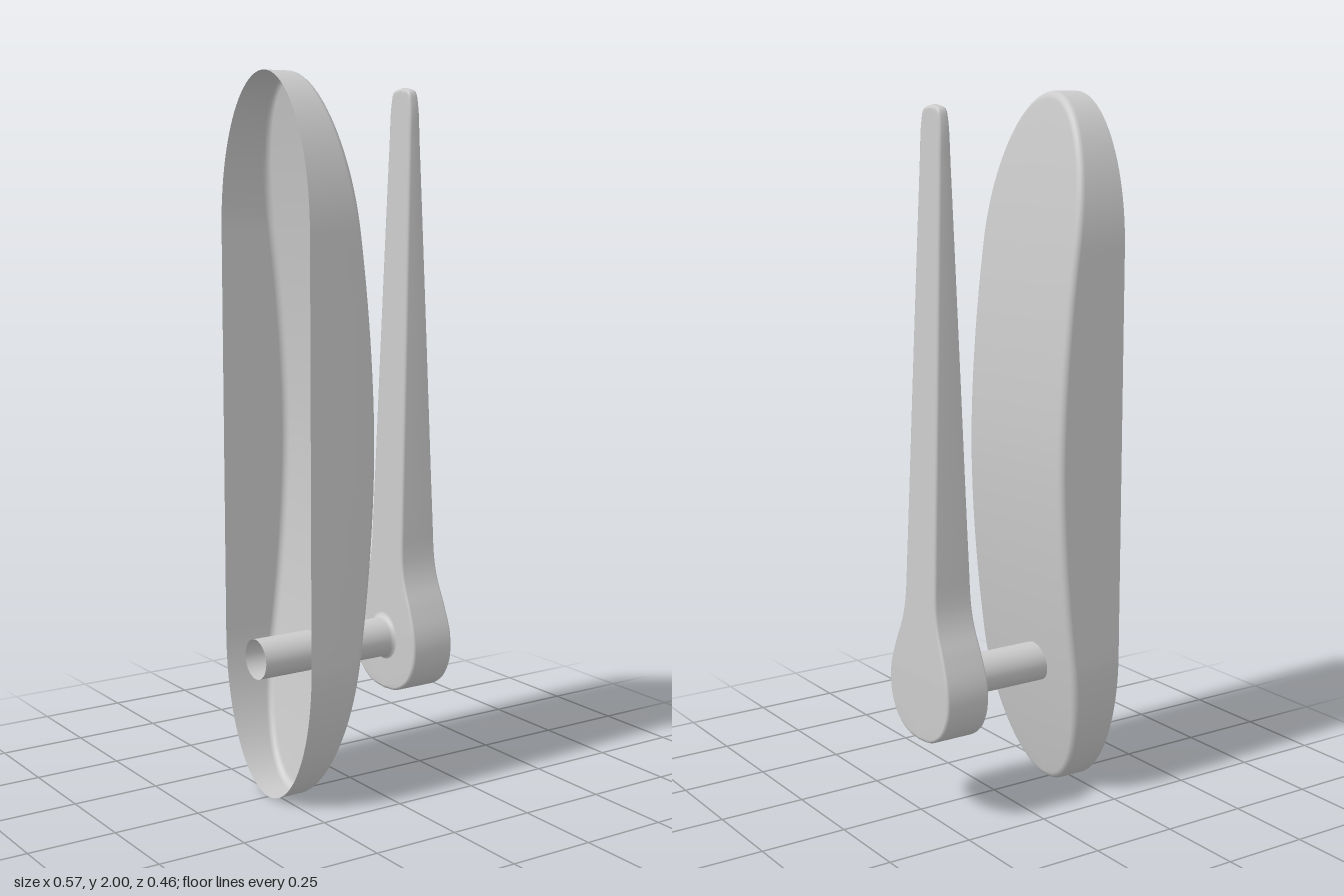
import * as THREE from 'three';
import { mergeVertices } from 'three/addons/utils/BufferGeometryUtils.js';

const material = new THREE.MeshStandardMaterial({ color: 0xcccccc, side: THREE.DoubleSide });

// Mirrors a half outline [half width, y], listed bottom to top, into a closed loop.
function mirrorOutline(half) {
  const right = half.map(([w, y]) => ({ y, z: -w }));
  const left = half.slice(1, -1).reverse().map(([w, y]) => ({ y, z: w }));
  return [...right, ...left];
}

// Lofts a loop along x. Each row gives x as a function of y and an inset;
// a row marked spine folds the loop onto z = 0, which closes the face.
function loft(loop, rows) {
  const n = loop.length, positions = [], index = [];
  for (const { x, inset = 0, spine = false } of rows) {
    loop.forEach((p, i) => {
      const a = loop[(i + n - 1) % n], b = loop[(i + 1) % n];
      const length = Math.hypot(b.y - a.y, b.z - a.z);
      const y = p.y - inset * (b.z - a.z) / length;
      const z = p.z + inset * (b.y - a.y) / length;
      positions.push(x(y), y, spine ? 0 : z);
    });
  }
  for (let r = 0; r < rows.length - 1; r++) {
    for (let i = 0; i < n; i++) {
      const j = (i + 1) % n;
      const a = r * n + i, b = r * n + j, c = b + n, d = a + n;
      index.push(a, b, d, b, c, d);
    }
  }
  const geometry = new THREE.BufferGeometry();
  geometry.setAttribute('position', new THREE.Float32BufferAttribute(positions, 3));
  geometry.setIndex(index);
  const merged = mergeVertices(geometry, 1e-5);
  merged.computeVertexNormals();
  return merged;
}

function addPart(group, name, geometry, z = 0) {
  const mesh = new THREE.Mesh(geometry, material);
  mesh.name = name;
  mesh.position.z = z;
  group.add(mesh);
}

// Long oval shell, open at the back, with a face bowed along its height.
function backplateGeometry() {
  const half = [], width = 0.228, cap = 0.42, steps = 24;
  for (let i = 0; i <= steps; i++) {
    const a = (i / steps) * Math.PI / 2;
    half.push([width * Math.sin(a), cap * (1 - Math.cos(a))]);
  }
  for (let i = 1; i < steps; i++) half.push([width, cap + (2 - 2 * cap) * i / steps]);
  for (let i = steps; i >= 0; i--) {
    const a = (i / steps) * Math.PI / 2;
    half.push([width * Math.sin(a), 2 - cap * (1 - Math.cos(a))]);
  }
  const face = (y) => -0.065 - 0.118 * Math.pow(Math.abs(y - 1), 1.8);
  const rows = [{ x: () => -0.275 }];
  const radius = 0.018;
  for (let i = 0; i <= 4; i++) {
    const a = (i / 4) * Math.PI / 2;
    rows.push({ x: (y) => face(y) - radius * (1 - Math.sin(a)), inset: radius * (1 - Math.cos(a)) });
  }
  rows.push({ x: face, inset: radius, spine: true });
  return loft(mirrorOutline(half), rows);
}

// Lever with a rounded bulb at the pivot, tapering in width and thickness.
function leverGeometry() {
  const profile = [
    [0, 0.23], [0.06, 0.238], [0.115, 0.272], [0.146, 0.325], [0.153, 0.375],
    [0.147, 0.425], [0.122, 0.495], [0.094, 0.56], [0.08, 0.62], [0.075, 0.75],
    [0.063, 1.3], [0.051, 1.8], [0.047, 1.92], [0.036, 1.955], [0, 1.965],
  ];
  const curve = new THREE.CatmullRomCurve3(profile.map(([w, y]) => new THREE.Vector3(w, y, 0)));
  const half = curve.getPoints(70).map((p) => [Math.max(p.x, 0), p.y]);
  const thickness = (y) => 0.0675 - 0.0525 * Math.max(0, (y - 0.42) / 1.54);
  const side = (sign, drop) => (y) => 0.217 + sign * (thickness(y) - drop);
  const edge = (sign) => [
    { x: side(sign, 0.008) },
    { x: side(sign, 0.0025), inset: 0.0025 },
    { x: side(sign, 0), inset: 0.008 },
    { x: side(sign, 0), inset: 0.008, spine: true },
  ];
  return loft(mirrorOutline(half), [...edge(-1).reverse(), ...edge(1)]);
}

// Hollow spindle that flares where it meets the lever.
function spindleGeometry() {
  const points = [new THREE.Vector2(0.057, -0.285), new THREE.Vector2(0.057, 0.135)];
  for (let i = 1; i <= 4; i++) {
    const a = (i / 4) * Math.PI / 2;
    points.push(new THREE.Vector2(0.057 + 0.016 * (1 - Math.cos(a)), 0.135 + 0.016 * Math.sin(a)));
  }
  return new THREE.LatheGeometry(points, 32).rotateZ(-Math.PI / 2).translate(0, 0.388, 0);
}

export function createModel() {
  const group = new THREE.Group();
  group.name = 'doorHandle';
  addPart(group, 'backplate', backplateGeometry());
  addPart(group, 'spindle', spindleGeometry(), -0.046);
  addPart(group, 'lever', leverGeometry(), -0.046);
  return group;
}
